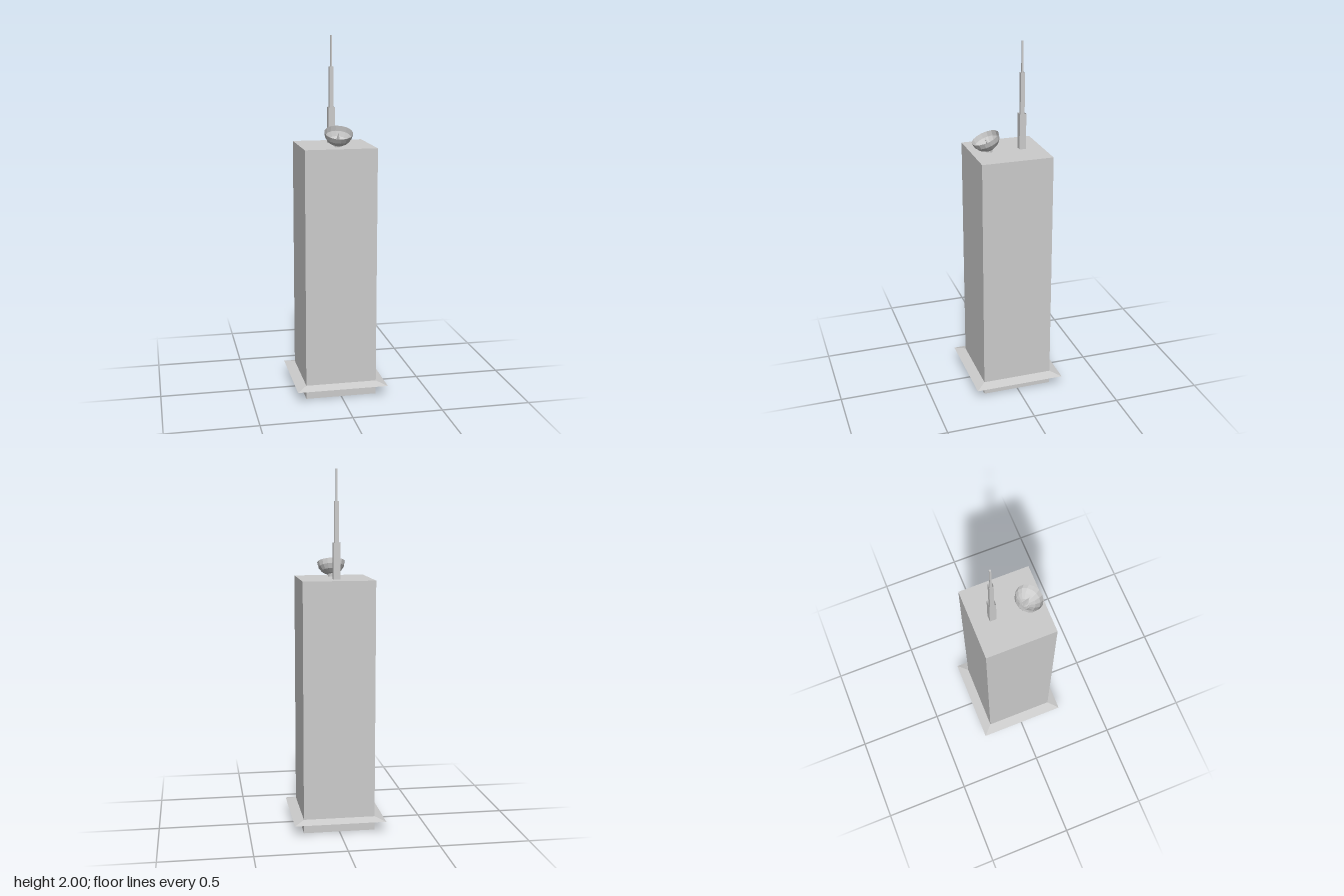
import * as THREE from 'three';

export function createModel() {
  const model = new THREE.Group();
  const grey = new THREE.MeshStandardMaterial({ color: 0xcccccc, flatShading: true, side: THREE.DoubleSide });
  grey.name = 'lightGrey';

  const add = (name, geometry, parent = model) => {
    const mesh = new THREE.Mesh(geometry, grey);
    mesh.name = name;
    parent.add(mesh);
    return mesh;
  };

  // Square tube or frustum, standing on bottomY, with sides facing the axes
  const squareTube = (topHalf, bottomHalf, bottomY, topY, open = true) =>
    new THREE.CylinderGeometry(topHalf * Math.SQRT2, bottomHalf * Math.SQRT2, topY - bottomY, 4, 1, open)
      .rotateY(Math.PI / 4)
      .translate(0, (bottomY + topY) / 2, 0);

  // Tower shell, open underneath, and its flat roof
  add('towerWalls', squareTube(0.2, 0.2, 0, 1.405));
  add('roof', new THREE.PlaneGeometry(0.4, 0.4).rotateX(-Math.PI / 2).translate(0, 1.405, 0));

  // Sloping ledge around the foot, with a flat underside
  add('ledgeSlope', squareTube(0.2, 0.256, 0.062, 0.078));
  const ring = new THREE.Shape();
  const square = (path, h) => path.moveTo(-h, -h).lineTo(h, -h).lineTo(h, h).lineTo(-h, h).closePath();
  square(ring, 0.256);
  const hole = new THREE.Path();
  square(hole, 0.2);
  ring.holes.push(hole);
  add('ledgeUnderside', new THREE.ShapeGeometry(ring).rotateX(Math.PI / 2).translate(0, 0.062, 0));

  // Telescopic mast in three sections; only the tip is closed
  const mast = new THREE.Group();
  mast.name = 'mast';
  mast.position.z = -0.088;
  model.add(mast);
  [
    ['mastBase', 0.0185, 1.405, 1.605, true],
    ['mastMiddle', 0.0115, 1.405, 1.83, true],
    ['mastTip', 0.0045, 1.405, 2, false],
  ].forEach(([name, half, y0, y1, open]) => add(name, squareTube(half, half, y0, y1, open), mast));

  // Satellite dish tilted towards the front
  const dish = new THREE.Group();
  dish.name = 'satelliteDish';
  dish.position.set(0, 1.486, 0.122);
  dish.rotation.x = THREE.MathUtils.degToRad(22);
  model.add(dish);
  add('dishBowl', new THREE.SphereGeometry(0.079, 16, 4, 0, Math.PI * 2, Math.PI / 2, Math.PI / 2)
    .scale(1, 0.95, 1), dish);
  add('dishFeed', squareTube(0, 0.0125, -0.073, 0, false), dish);

  // Short foot under the dish
  add('dishFoot', new THREE.CylinderGeometry(0.02, 0.02, 0.022, 8).translate(0, 1.414, 0.1));

  return model;
}
